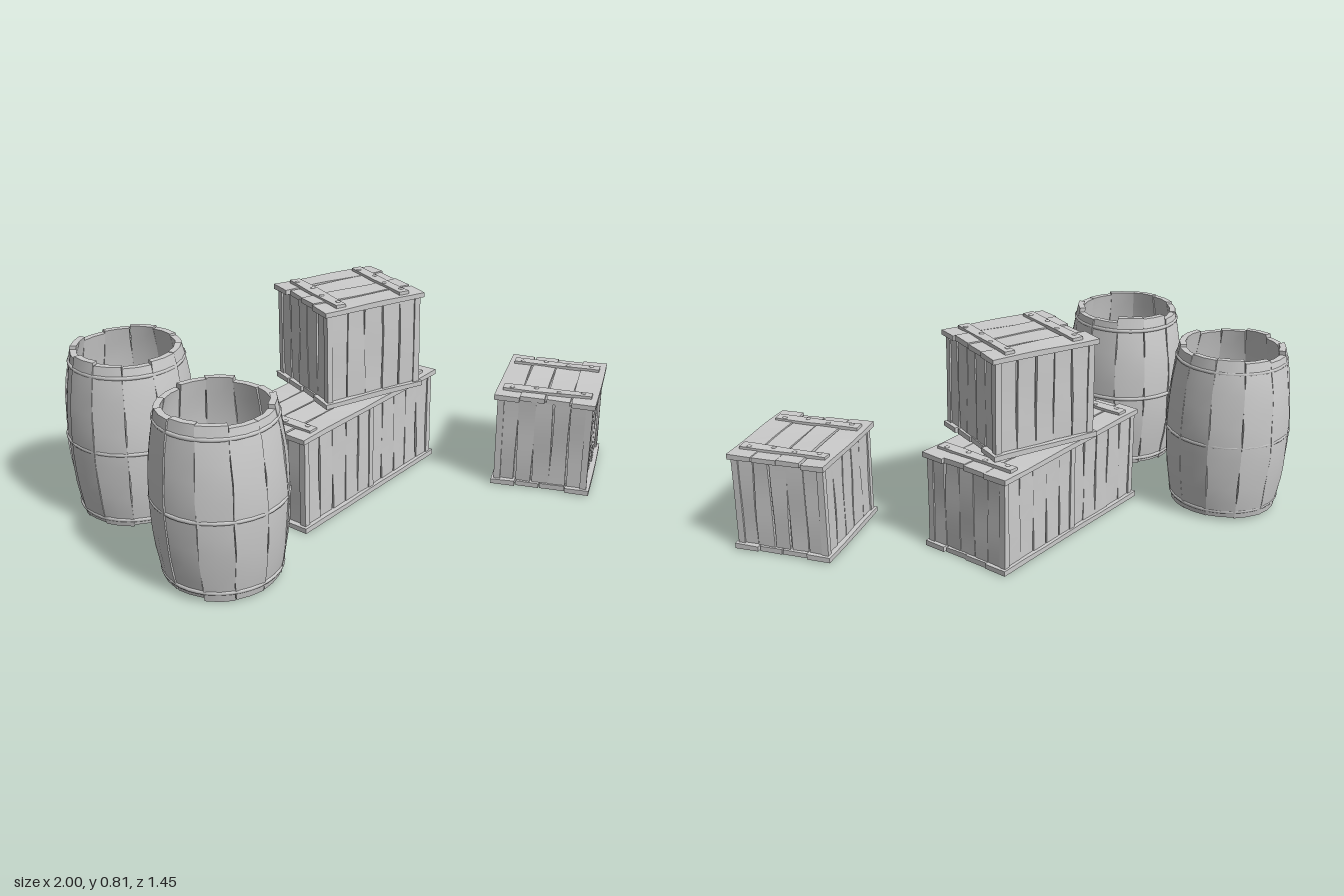
import * as THREE from 'three';

const wood = new THREE.MeshStandardMaterial({ color: 0xcccccc });
wood.name = 'greyWood';

// small seeded generator for hand-hewn irregularity
let seed = 7;
const rand = () => {
  seed = (seed * 16807) % 2147483647;
  return seed / 2147483647;
};
const jitter = (a) => (rand() * 2 - 1) * a;

function add(parent, name, geometry, x = 0, y = 0, z = 0) {
  const mesh = new THREE.Mesh(geometry, wood);
  mesh.name = name;
  mesh.position.set(x, y, z);
  parent.add(mesh);
  return mesh;
}

// upright board, its side edges and face gently uneven
function board(w, h, t, wobble = 0.003) {
  const g = new THREE.BoxGeometry(w, h, t, 1, 7, 1);
  const p = g.attributes.position;
  const ph = rand() * 6;
  for (let i = 0; i < p.count; i++) {
    const x = p.getX(i), y = p.getY(i), z = p.getZ(i);
    const s = Math.sign(x);
    const nick = wobble * Math.sin(y * 47 / Math.max(h, 0.3) + ph + s * 2);
    p.setX(i, x + nick - s * wobble * 0.5);
    if (z > 0) p.setZ(i, z + wobble * 0.7 * Math.sin(y * 17 + ph * 2 + s));
  }
  g.computeVertexNormals();
  return g;
}

// four boards lying along x, used for lid and base
function deck(parent, name, len, depth, y) {
  const n = 4, w = depth / n;
  for (let i = 0; i < n; i++) {
    const inner = i === 1 || i === 2;
    const g = board(w - 0.002, len - (inner ? 0.012 + rand() * 0.012 : 0), 0.02, 0.0025);
    g.rotateZ(Math.PI / 2).rotateX(-Math.PI / 2);
    const m = add(parent, name, g, inner ? jitter(0.005) : 0, y + jitter(0.002), (i + 0.5) * w - depth / 2);
    m.rotation.x = jitter(0.025);
  }
}

// one wall of vertical boards facing +z
function wall(parent, name, width, faceZ, rotY, count) {
  const side = new THREE.Group();
  side.name = name;
  side.rotation.y = rotY;
  const w = width / count;
  for (let i = 0; i < count; i++) {
    add(side, 'wallBoard', board(w - 0.001, 0.35, 0.012), (i + 0.5) * w - width / 2, 0.2, faceZ - 0.012 + jitter(0.002));
  }
  parent.add(side);
}

function crate(name, len, x, y, z, rotY, boards, middlePost) {
  const g = new THREE.Group();
  g.name = name;
  g.position.set(x, y, z);
  g.rotation.y = rotY;
  const depth = 0.393, hx = len / 2 - 0.012, hz = depth / 2 - 0.012;

  // inner box behind the gaps
  add(g, 'innerBox', new THREE.BoxGeometry(hx * 2 - 0.045, 0.35, hz * 2 - 0.045), 0, 0.2, 0);
  deck(g, 'baseBoard', len, depth, 0.015);
  deck(g, 'lidBoard', len, depth, 0.381);

  wall(g, 'frontWall', hx * 2 - 0.03, hz, 0, boards);
  wall(g, 'backWall', hx * 2 - 0.03, hz, Math.PI, boards);
  wall(g, 'leftWall', hz * 2 - 0.03, hx, Math.PI / 2, 5);
  wall(g, 'rightWall', hz * 2 - 0.03, hx, -Math.PI / 2, 5);

  for (const sx of [-1, 1]) {
    for (const sz of [-1, 1]) {
      add(g, 'cornerPost', board(0.026, 0.352, 0.026, 0.001), sx * (hx - 0.013), 0.198, sz * (hz - 0.013));
    }
    // lid batten with nails
    const bx = sx * (len / 2 - 0.08);
    const batten = board(0.044, 0.345, 0.012, 0.002).rotateX(-Math.PI / 2);
    add(g, 'lidBatten', batten, bx, 0.395, 0);
    for (let i = 0; i < 4; i++) {
      const nail = new THREE.SphereGeometry(0.01, 8, 4, 0, Math.PI * 2, 0, Math.PI / 2).scale(1, 0.4, 1);
      add(g, 'nail', nail, bx + (i % 2 ? 0.008 : -0.008), 0.401, (i - 1.5) * 0.092);
    }
  }
  if (middlePost) {
    for (const s of [-1, 1]) add(g, 'middlePost', board(0.028, 0.352, 0.02, 0.001), 0, 0.198, s * (hz - 0.01));
  }
  return g;
}

// barrel radius at a height
const bulge = (y) => 0.235 - 0.034 * Math.pow((y - 0.335) / 0.32, 2);

function barrel(name, x, z, turn) {
  const g = new THREE.Group();
  g.name = name;
  g.position.set(x, 0, z);
  g.rotation.y = turn;
  const n = 12, thick = 0.024;

  // bulging staves with uneven ends
  for (let k = 0; k < n; k++) {
    const geo = new THREE.BoxGeometry(1, 1, 1, 2, 10, 1);
    const p = geo.attributes.position;
    const bottom = 0.016 + jitter(0.009), top = 0.662 + jitter(0.012);
    const ph = rand() * 6, shift = jitter(0.003);
    for (let i = 0; i < p.count; i++) {
      const u = p.getX(i), w = p.getZ(i);
      const y = bottom + (p.getY(i) + 0.5) * (top - bottom);
      const r = bulge(y) + shift + (w > 0 ? 0 : -thick);
      const wave = 0.002 * Math.sin(y * 26 + ph + u * 3);
      const crown = 0.006 * (1 - 4 * u * u);
      p.setXYZ(i, u * 2 * r * Math.tan(Math.PI / n) * 0.985 + wave, y, r + crown + wave * 0.7);
    }
    geo.rotateY((k / n) * Math.PI * 2);
    geo.computeVertexNormals();
    add(g, 'stave', geo);
  }

  // round hoops
  for (const y of [0.045, 0.33, 0.62]) {
    const hoop = new THREE.TorusGeometry(bulge(y) + 0.003, 0.008, 6, 36).rotateX(Math.PI / 2);
    add(g, 'hoop', hoop, 0, y, 0);
  }
  // recessed floor
  add(g, 'barrelFloor', new THREE.CylinderGeometry(0.196, 0.196, 0.012, n), 0, 0.09, 0);
  return g;
}

export function createModel() {
  const model = new THREE.Group();
  model.name = 'cratesAndBarrels';
  model.add(
    crate('longCrate', 0.84, 0.01, 0, -0.1, 0.137, 10, true),
    crate('stackedCrate', 0.441, 0.09, 0.406, -0.1, -0.22, 5, false),
    crate('cornerCrate', 0.441, 0.705, 0.005, 0.44, 0.51, 5, false),
    barrel('backBarrel', -0.683, -0.487, 0.1),
    barrel('frontBarrel', -0.757, 0.132, 0.3),
  );
  return model;
}
